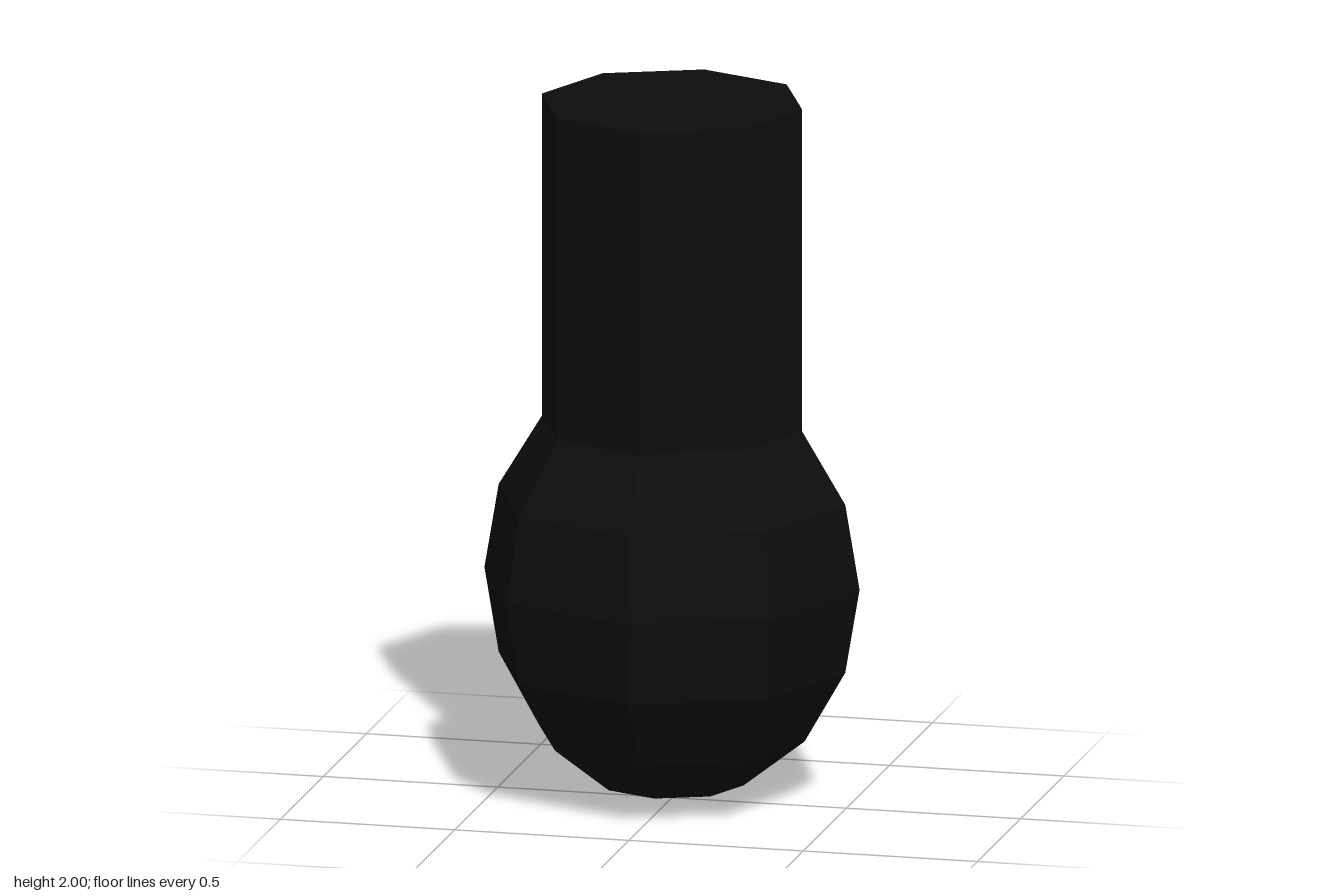
import * as THREE from 'three';

export function createModel() {
  const group = new THREE.Group();
  const black = new THREE.MeshStandardMaterial({ color: 0x0d0d0d, flatShading: true });
  black.name = 'black';

  const sides = 8, radius = 0.538, halfHeight = 0.63, stemRadius = 0.373, neckY = 1.075;

  // Faceted egg-shaped bulb, open where the stem joins
  const profile = [];
  for (let i = 0; i < 6; i++) {
    const a = (i * Math.PI) / 8;
    profile.push(new THREE.Vector2(radius * Math.sin(a), halfHeight * (1 - Math.cos(a))));
  }
  profile.push(new THREE.Vector2(stemRadius, neckY));
  const bulb = new THREE.Mesh(new THREE.LatheGeometry(profile, sides), black);
  bulb.name = 'bulb';
  group.add(bulb);

  // Eight-sided stem with a flat top
  const height = 2 - neckY;
  const stem = new THREE.Mesh(
    new THREE.LatheGeometry([
      new THREE.Vector2(stemRadius, 0),
      new THREE.Vector2(stemRadius, height),
      new THREE.Vector2(0, height),
    ], sides), black);
  stem.name = 'stem';
  stem.position.y = neckY;
  group.add(stem);

  return group;
}
